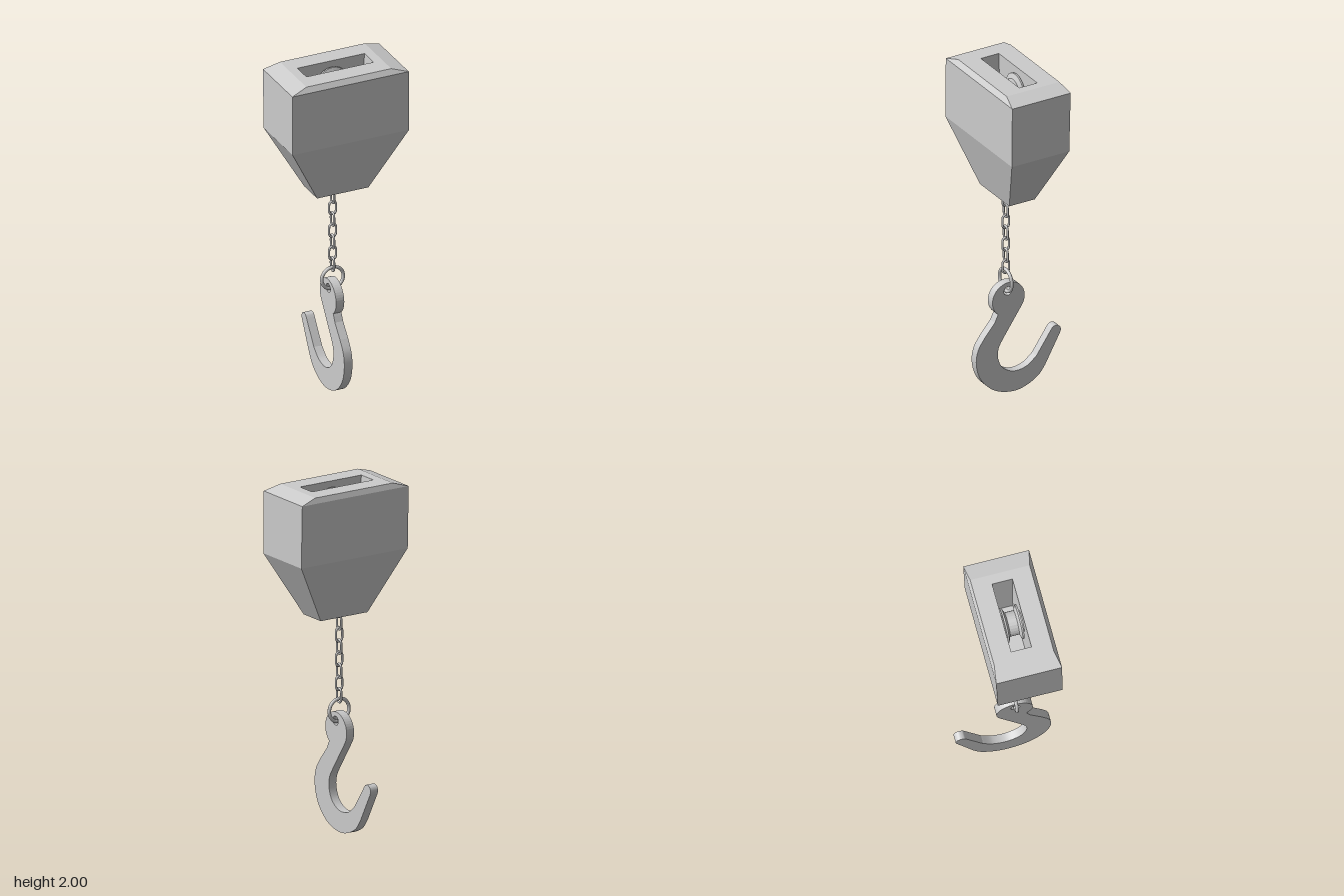
import * as THREE from 'three';

const CX = -0.022, CZ = 0.07; // line the chain hangs on

const material = (opts = {}) => new THREE.MeshStandardMaterial({ color: 0xcccccc, ...opts });

function addMesh(parent, name, geometry, mat) {
  const mesh = new THREE.Mesh(geometry, mat);
  mesh.name = name;
  parent.add(mesh);
  return mesh;
}

// Skin through rectangular rings [y, halfX, zBack, zFront], capped at both ends
function ringSkin(rings) {
  const pos = [], idx = [];
  for (const [y, x, z0, z1] of rings) pos.push(-x, y, z1, x, y, z1, x, y, z0, -x, y, z0);
  for (let r = 0; r < rings.length - 1; r++) {
    for (let i = 0; i < 4; i++) {
      const a = r * 4 + i, b = r * 4 + (i + 1) % 4, c = b + 4, d = a + 4;
      idx.push(a, d, c, a, c, b);
    }
  }
  const e = (rings.length - 1) * 4;
  idx.push(0, 1, 2, 0, 2, 3, e, e + 2, e + 1, e, e + 3, e + 2);
  const g = new THREE.BufferGeometry();
  g.setAttribute('position', new THREE.Float32BufferAttribute(pos, 3));
  g.setIndex(idx);
  const flat = g.toNonIndexed();
  flat.computeVertexNormals();
  return flat;
}

// Oval link: two straight sides joined by half circles
function linkGeometry(halfWidth, halfHeight, wire) {
  const r = halfWidth - wire, s = halfHeight - halfWidth, pts = [];
  for (let i = 0; i <= 6; i++) {
    const a = Math.PI * i / 6;
    pts.push(new THREE.Vector3(r * Math.cos(a), s + r * Math.sin(a), 0));
  }
  for (let i = 0; i <= 6; i++) {
    const a = Math.PI * (1 + i / 6);
    pts.push(new THREE.Vector3(r * Math.cos(a), -s + r * Math.sin(a), 0));
  }
  return new THREE.TubeGeometry(new THREE.CatmullRomCurve3(pts, true), 32, wire, 8, true);
}

// Hook outline, drawn in (z, y)
function hookShape() {
  const v = (list) => list.map(([x, y]) => new THREE.Vector2(x, y));
  const s = new THREE.Shape();
  s.absarc(0.066, 0.58, 0.104, -0.87, Math.PI * 1.2, false);
  s.lineTo(0.10, 0.345);
  s.splineThru(v([[0.128, 0.295], [0.135, 0.24], [0.114, 0.178], [0.07, 0.138],
    [0.013, 0.122], [-0.055, 0.136], [-0.114, 0.18]]));
  s.lineTo(-0.208, 0.317);
  s.splineThru(v([[-0.222, 0.332], [-0.243, 0.336], [-0.263, 0.325], [-0.271, 0.305], [-0.266, 0.285]]));
  s.lineTo(-0.17, 0.11);
  s.splineThru(v([[-0.125, 0.055], [-0.05, 0.014], [0.03, 0], [0.12, 0.018], [0.19, 0.06],
    [0.25, 0.135], [0.274, 0.228], [0.262, 0.31], [0.22, 0.377]]));
  s.lineTo(0.155, 0.455);
  s.lineTo(0.141, 0.485);
  const hole = new THREE.Path();
  hole.absarc(CZ, 0.632, 0.026, 0, Math.PI * 2, true);
  s.holes.push(hole);
  return s;
}

export function createModel() {
  const model = new THREE.Group();
  const grey = material();

  // Housing: pulley slot in the top, tapered outside, chain opening below
  addMesh(model, 'housing', ringSkin([
    [1.65, 0.178, 0.010, 0.115],
    [2.00, 0.206, 0.004, 0.120],
    [2.00, 0.26, -0.107, 0.233],
    [1.97, 0.357, -0.121, 0.255],
    [1.61, 0.357, -0.112, 0.258],
    [1.25, 0.157, -0.010, 0.155],
    [1.25, 0.115, 0.018, 0.127],
    [1.52, 0.115, 0.018, 0.127],
  ]), grey);

  // Grooved pulley wheel with its axle ends
  const wheel = [[0, 0.004], [0.06, 0.004], [0.06, 0.014], [0.098, 0.014], [0.098, 0.024], [0.069, 0.036],
    [0.069, 0.088], [0.098, 0.1], [0.098, 0.11], [0.06, 0.11], [0.06, 0.12], [0, 0.12]];
  const pulley = addMesh(model, 'pulley',
    new THREE.LatheGeometry(wheel.map(([r, h]) => new THREE.Vector2(r, h)), 24), material({ flatShading: true }));
  pulley.rotation.x = Math.PI / 2;
  pulley.position.y = 1.87;

  // Chain: alternate links turned a quarter
  const chain = new THREE.Group();
  chain.name = 'chain';
  model.add(chain);
  const link = linkGeometry(0.027, 0.047, 0.0065);
  for (let i = 0; i < 11; i++) {
    const m = addMesh(chain, 'chainLink', link, grey);
    m.position.set(CX, 0.775 + i * 0.07, CZ);
    m.rotation.y = i % 2 ? 0 : Math.PI / 2;
  }

  // Ring joining chain and hook
  addMesh(model, 'hookRing', new THREE.TorusGeometry(0.066, 0.01, 10, 32), grey)
    .position.set(CX, 0.69, CZ);

  // Flat plate hook
  const hook = addMesh(model, 'hook',
    new THREE.ExtrudeGeometry(hookShape(), { depth: 0.05, bevelEnabled: false, curveSegments: 16 }), grey);
  hook.rotation.y = -Math.PI / 2;
  hook.position.x = 0.002;

  return model;
}
